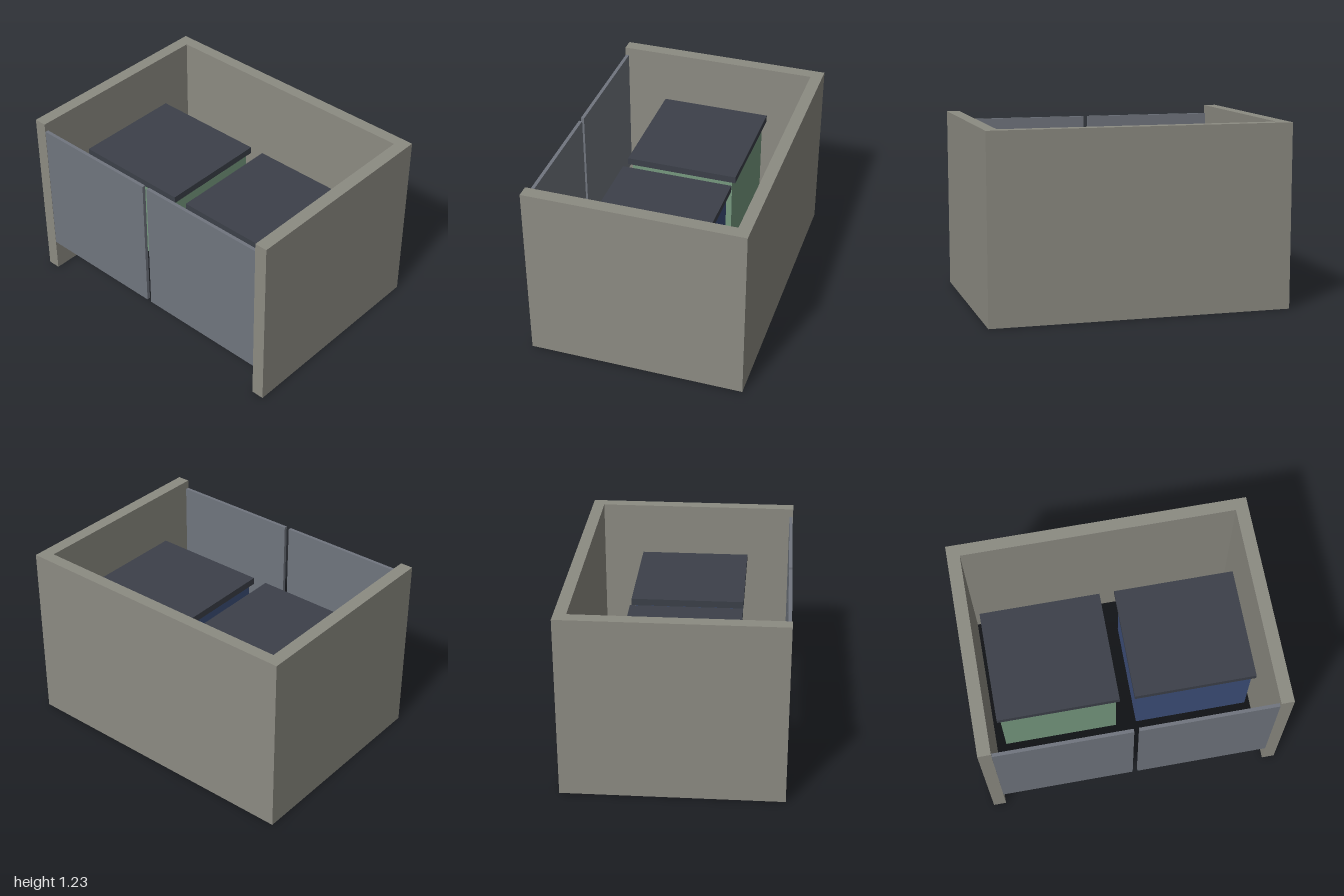
import * as THREE from 'three';

const material = (name, color, side = THREE.FrontSide) => {
  const m = new THREE.MeshStandardMaterial({ color, side });
  m.name = name;
  return m;
};

export function createModel() {
  const wallGrey = material('wall grey', 0x8c8b82);
  const doorGrey = material('door grey', 0x70757e);
  const lidGrey = material('lid dark grey', 0x3c4049);
  const binGreen = material('bin green', 0x76997f, THREE.DoubleSide);
  const binBlue = material('bin blue', 0x3d4f79, THREE.DoubleSide);

  const model = new THREE.Group();
  model.name = 'binEnclosure';

  // Box given by its minimum and maximum corners
  const box = (name, mat, min, max) => {
    const size = max.map((v, i) => v - min[i]);
    const mesh = new THREE.Mesh(new THREE.BoxGeometry(...size), mat);
    mesh.position.set(...max.map((v, i) => (v + min[i]) / 2));
    mesh.name = name;
    return mesh;
  };

  // U-shaped walls, open at the front, top and bottom (plan y = -z)
  const plan = new THREE.Shape([
    [-1, -0.72], [-0.915, -0.72], [-0.915, 0.64], [0.915, 0.64],
    [0.915, -0.72], [1, -0.72], [1, 0.72], [-1, 0.72],
  ].map(([x, y]) => new THREE.Vector2(x, y)));
  const wallGeometry = new THREE.ExtrudeGeometry(plan, { depth: 1.225, bevelEnabled: false });
  wallGeometry.rotateX(-Math.PI / 2);
  const walls = new THREE.Mesh(wallGeometry, wallGrey);
  walls.name = 'walls';
  model.add(walls);

  // Thin-walled bin, open underneath, closed on top by its lid
  const makeBin = (name, mat) => {
    const bin = new THREE.Group();
    bin.name = name;
    const width = 0.77, depth = 0.7, bottom = 0.25, top = 0.84;
    for (let i = 0; i < 4; i++) {
      const along = i % 2 ? depth : width;
      const out = (i % 2 ? width : depth) / 2;
      const side = new THREE.PlaneGeometry(along, top - bottom);
      side.translate(0, (top + bottom) / 2, out);
      side.rotateY(i * Math.PI / 2);
      const mesh = new THREE.Mesh(side, mat);
      mesh.name = 'binSide';
      bin.add(mesh);
    }
    bin.add(box('binLid', lidGrey, [-0.405, top, -0.378], [0.405, 0.887, 0.378]));
    return bin;
  };

  // One door and one bin on each side
  for (const s of [-1, 1]) {
    const label = s > 0 ? 'left' : 'right';
    const door = box(label + 'Door', doorGrey, [-0.449, 0.228, 0.695], [0.449, 1.167, 0.718]);
    door.position.x = s * 0.466;
    model.add(door);

    const bin = makeBin(label + 'Bin', s > 0 ? binBlue : binGreen);
    bin.position.set(s * 0.455, 0, 0.023);
    model.add(bin);
  }

  return model;
}
